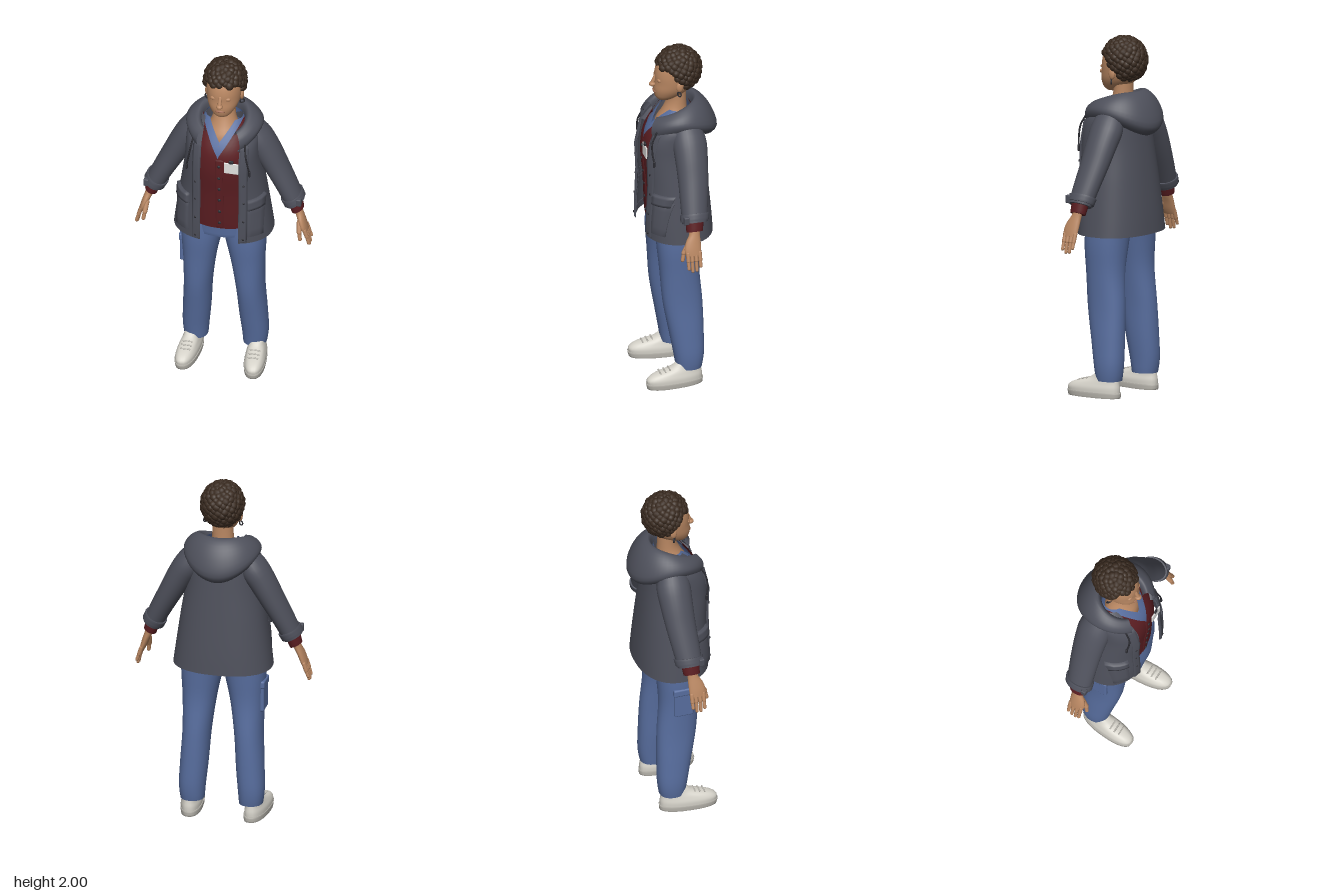
import * as THREE from 'three';
import { mergeGeometries, mergeVertices } from 'three/addons/utils/BufferGeometryUtils.js';
import { RoundedBoxGeometry } from 'three/addons/geometries/RoundedBoxGeometry.js';

const paint = (name, color, side = THREE.FrontSide) => {
  const m = new THREE.MeshStandardMaterial({ color, side });
  m.name = name;
  return m;
};
const V = (x, y, z) => new THREE.Vector3(x, y, z);
const TAU = Math.PI * 2;

// Grid of quads from a point rule; v runs up, u runs round from the front towards +x
function grid(rule, rows, cols) {
  const pos = [], idx = [];
  for (let i = 0; i <= rows; i++) for (let j = 0; j <= cols; j++) pos.push(...rule(i, j));
  for (let i = 0; i < rows; i++) for (let j = 0; j < cols; j++) {
    const a = i * (cols + 1) + j, b = a + cols + 1;
    idx.push(a, a + 1, b + 1, a, b + 1, b);
  }
  let g = new THREE.BufferGeometry();
  g.setAttribute('position', new THREE.Float32BufferAttribute(pos, 3));
  g.setIndex(idx);
  g = mergeVertices(g, 1e-4);
  g.computeVertexNormals();
  return g;
}

// Level cross-section from its extents, and a smooth surface through rising cross-sections
const ring = (y, x0, x1, z0, z1) => [(x0 + x1) / 2, y, (z0 + z1) / 2, (x1 - x0) / 2, (z1 - z0) / 2, 0];
const wide = (y, x, z0, z1) => ring(y, -x, x, z0, z1);
function surface(rings, p = 2) {
  const f = new THREE.CubicInterpolant(rings.map(r => r[1]), rings.flat(), 6);
  const bend = v => Math.sign(v) * Math.abs(v) ** (2 / p);
  return {
    from: rings[0][1], to: rings[rings.length - 1][1],
    at(y, a, off = 0, k = 1) {
      const [cx, cy, cz, rx, rz, tilt] = f.evaluate(y);
      const x = bend(Math.sin(a)) * (rx + off) * k, z = bend(Math.cos(a)) * (rz + off) * k;
      const t = tilt * Math.PI / 180;
      return [cx + x * Math.cos(t), cy + x * Math.sin(t), cz + z];
    },
    angle(y, x) {
      const [cx, , , rx] = f.evaluate(y);
      const s = THREE.MathUtils.clamp((x - cx) / rx, -1, 1);
      return Math.asin(Math.sign(s) * Math.abs(s) ** (p / 2));
    },
  };
}
function loft(s, { y0 = s.from, y1 = s.to, off = 0, rows = 16, cols = 28, low = true, high = true,
  a0 = () => 0, a1 = () => TAU } = {}) {
  const steps = [];
  if (low) steps.push([y0, 0], [y0, 0.97]);
  for (let i = 0; i <= rows; i++) steps.push([y0 + (y1 - y0) * i / rows, 1]);
  if (high) steps.push([y1, 0.97], [y1, 0]);
  return grid((i, j) => {
    const [y, k] = steps[i], a = a0(y) + (a1(y) - a0(y)) * j / cols;
    return s.at(y, a, off, k);
  }, steps.length - 1, cols);
}
// Raised panel lying on the front of a surface
function patch(s, x0, x1, y0, y1, off = 0.01) {
  const us = [0, 0.02, 0.25, 0.5, 0.75, 0.98, 1];
  return grid((i, j) => {
    const y = y0 + (y1 - y0) * us[i], edge = i % 6 === 0 || j % 6 === 0;
    return s.at(y, s.angle(y, x0 + (x1 - x0) * us[j]), edge ? -0.002 : off);
  }, 6, 6);
}
const ball = (x, y, z, a, b, c) => new THREE.SphereGeometry(1, 14, 10).scale(a, b, c).translate(x, y, z);
const box = (x, y, z, a, b, c, r = 0.004) => new RoundedBoxGeometry(a, b, c, 2, r).translate(x, y, z);
function limb(p, q, r) {
  const d = q.clone().sub(p), g = new THREE.CapsuleGeometry(r, d.length(), 4, 10);
  g.applyQuaternion(new THREE.Quaternion().setFromUnitVectors(V(0, 1, 0), d.normalize()));
  const m = p.clone().add(q).multiplyScalar(0.5);
  return g.translate(m.x, m.y, m.z);
}
function mirror(geo) {
  const g = geo.clone().scale(-1, 1, 1), ix = g.index;
  for (let i = 0; i < ix.count; i += 3) {
    const t = ix.getX(i);
    ix.setX(i, ix.getX(i + 1));
    ix.setX(i + 1, t);
  }
  return g;
}

export function createModel() {
  const model = new THREE.Group();
  const skin = paint('skin', 0xb98762), hair = paint('hair', 0x3a2b20), lip = paint('lip', 0xa06a52);
  const coat = paint('coat', 0x4e505b, THREE.DoubleSide), red = paint('dark red', 0x5a1d21, THREE.DoubleSide);
  const blue = paint('blue cloth', 0x586e9f, THREE.DoubleSide), dark = paint('dark trim', 0x2c2c32);
  const white = paint('badge white', 0xe2e2e0), shoe = paint('shoe', 0xd6d3ca), sole = paint('sole', 0xb9b6ae);
  const add = (name, geo, mat) => {
    const m = new THREE.Mesh(geo, mat);
    m.name = name;
    model.add(m);
  };
  const pair = (name, geo, mat) => {
    add('left ' + name, geo, mat);
    add('right ' + name, geo.index ? mirror(geo) : mirror(mergeVertices(geo)), mat);
  };

  // Trousers and side pocket
  pair('trouser leg', loft(surface([
    ring(0.095, 0.1, 0.232, -0.1, 0.045), ring(0.16, 0.095, 0.24, -0.11, 0.055), ring(0.3, 0.082, 0.236, -0.112, 0.08),
    ring(0.5, 0.068, 0.226, -0.107, 0.115), ring(0.7, 0.04, 0.23, -0.092, 0.13), ring(0.85, 0.008, 0.238, -0.1, 0.142),
    ring(0.98, -0.02, 0.235, -0.11, 0.14)], 2.2), { rows: 24 }), blue);
  add('cargo pocket', box(-0.222, 0.72, 0.02, 0.035, 0.15, 0.11, 0.01), blue);
  add('cargo pocket flap', box(-0.224, 0.805, 0.02, 0.04, 0.045, 0.12, 0.01), blue);

  // Shoes
  const turn = g => {
    const p = g.attributes.position;
    for (let i = 0; i < p.count; i++) p.setX(i, p.getX(i) + 0.08 * (p.getZ(i) - 0.06));
    g.computeVertexNormals();
    return g;
  };
  pair('shoe upper', turn(loft(surface([
    ring(0.025, 0.131, 0.245, -0.1, 0.218), ring(0.055, 0.131, 0.245, -0.1, 0.217), ring(0.08, 0.138, 0.238, -0.096, 0.18),
    ring(0.105, 0.144, 0.23, -0.092, 0.09), ring(0.13, 0.146, 0.226, -0.088, 0.05)], 2.4))), shoe);
  pair('shoe sole', turn(loft(surface([
    ring(0, 0.128, 0.246, -0.103, 0.218), ring(0.03, 0.126, 0.249, -0.105, 0.225)], 2.4), { rows: 3 })), sole);
  for (let i = 0; i < 3; i++) {
    const z = 0.145 - i * 0.027, y = 0.09 + i * 0.007;
    pair('shoe lace ' + (i + 1), limb(V(0.165, y, z), V(0.218, y, z), 0.004), sole);
  }

  // Scrub top and buttoned vest share one torso
  const torso = surface([wide(0.88, 0.215, -0.15, 0.16), wide(1, 0.2, -0.14, 0.172), wide(1.2, 0.19, -0.13, 0.182),
    wide(1.4, 0.18, -0.12, 0.196), wide(1.5, 0.17, -0.11, 0.178), wide(1.6, 0.14, -0.09, 0.12), wide(1.65, 0.115, -0.08, 0.085)], 2.2);
  const vNeck = (base, rate) => {
    const edge = y => torso.angle(y, Math.max(0, y - base) * rate);
    return { a0: edge, a1: y => TAU - edge(y), high: false, rows: 36, cols: 40 };
  };
  add('scrub top', loft(torso, { ...vNeck(1.545, 0.75), y0: 0.9, off: -0.012 }), blue);
  add('vest', loft(torso, { ...vNeck(1.47, 0.62), y0: 0.975, low: false }), red);
  add('vest placket', patch(torso, -0.012, 0.032, 0.98, 1.46, 0.004), red);
  for (let i = 0; i < 6; i++) {
    const y = 1.02 + i * 0.08, p = torso.at(y, torso.angle(y, 0.01), 0.005);
    add('vest button ' + (i + 1), ball(...p, 0.009, 0.009, 0.005), dark);
  }
  add('badge', box(0.08, 1.42, 0.2, 0.082, 0.07, 0.009), white);
  add('badge clip', box(0.08, 1.462, 0.2, 0.026, 0.02, 0.012), dark);

  // Open coat
  const shell = surface([wide(0.907, 0.278, -0.19, 0.212), wide(1, 0.266, -0.184, 0.214), wide(1.2, 0.238, -0.166, 0.207),
    wide(1.4, 0.21, -0.146, 0.217), wide(1.5, 0.205, -0.135, 0.203), wide(1.56, 0.2, -0.125, 0.163),
    wide(1.61, 0.17, -0.11, 0.115), wide(1.65, 0.125, -0.09, 0.08)], 2.3);
  add('coat body', loft(shell, { low: false, high: false, rows: 28, cols: 48,
    a0: y => shell.angle(y, 0.12), a1: y => TAU + shell.angle(y, -0.095) }), coat);
  add('left coat placket', patch(shell, 0.12, 0.162, 0.91, 1.54), coat);
  add('right coat placket', patch(shell, -0.137, -0.095, 0.91, 1.54), coat);
  for (const y of [0.94, 1.06, 1.18, 1.3]) for (const x of [0.142, -0.117])
    add('coat stud', ball(...shell.at(y, shell.angle(y, x), 0.01), 0.007, 0.007, 0.004), dark);
  pair('coat pocket', patch(shell, 0.165, 0.24, 0.95, 1.15, 0.01), coat);
  pair('coat pocket flap', patch(shell, 0.16, 0.236, 1.13, 1.19, 0.019), coat);
  const cord = [1.56, 1.5, 1.44, 1.39].map((y, i) =>
    V(...shell.at(y, shell.angle(y, 0.135 + i * 0.01), 0.016)));
  pair('drawstring', new THREE.TubeGeometry(new THREE.CatmullRomCurve3(cord), 12, 0.005, 6), dark);
  pair('drawstring end', limb(cord[3], cord[3].clone().add(V(0, -0.025, 0)), 0.007), dark);

  // Hood lying on the back, blended from front, side and back profiles of radius and height
  const hood = [
    [[0.17, 1.49], [0.2, 1.49], [0.21, 1.53], [0.205, 1.57], [0.19, 1.595], [0.17, 1.61], [0.15, 1.59], [0.14, 1.52]],
    [[0.15, 1.55], [0.19, 1.555], [0.215, 1.6], [0.2, 1.637], [0.17, 1.665], [0.135, 1.68], [0.115, 1.65], [0.11, 1.57]],
    [[0.13, 1.48], [0.18, 1.46], [0.225, 1.51], [0.2, 1.6], [0.155, 1.67], [0.105, 1.7], [0.085, 1.66], [0.08, 1.58]]];
  const profiles = hood.map(p => new THREE.SplineCurve(p.map(q => new THREE.Vector2(...q))).getPoints(21));
  add('hood', grid((i, j) => {
    const a = THREE.MathUtils.degToRad(35 + 290 * j / 40), w = (1 - Math.cos(a)) / 2;
    const k = [2 * (w - 0.5) * (w - 1), 4 * w * (1 - w), 2 * w * (w - 0.5)];
    const mix = c => profiles.reduce((sum, p, n) => sum + p[i][c] * k[n], 0);
    return [mix('x') * Math.sin(a), mix('y'), mix('x') * Math.cos(a)];
  }, 21, 40), coat);

  // Sleeves and cuffs
  const sleeve = surface([[0.4, 1.105, 0, 0.055, 0.07, 27], [0.348, 1.21, -0.01, 0.06, 0.078, 27],
    [0.29, 1.32, -0.02, 0.067, 0.085, 27], [0.23, 1.43, -0.025, 0.075, 0.092, 28],
    [0.182, 1.505, -0.025, 0.078, 0.095, 34], [0.14, 1.565, -0.02, 0.066, 0.08, 48]]);
  pair('sleeve', loft(sleeve, { rows: 18 }), coat);
  pair('sleeve strap', loft(sleeve, { y0: 1.115, y1: 1.15, off: 0.009, rows: 3 }), coat);
  pair('strap tab', box(0.43, 1.14, 0.055, 0.03, 0.045, 0.03, 0.006), coat);
  pair('knit cuff', loft(surface([[0.414, 1.058, 0.004, 0.037, 0.046, 25], [0.395, 1.12, 0, 0.042, 0.052, 27]]), { rows: 4 }), red);

  // Hands
  pair('palm', loft(surface([[0.463, 0.935, 0.022, 0.014, 0.043, 18], [0.452, 0.965, 0.024, 0.018, 0.047, 18],
    [0.436, 1.01, 0.018, 0.02, 0.042, 20], [0.422, 1.045, 0.008, 0.022, 0.031, 24], [0.41, 1.08, 0.004, 0.024, 0.032, 25]]),
    { rows: 12, cols: 18 }), skin);
  [[0.055, 0.868], [0.033, 0.852], [0.01, 0.855], [-0.012, 0.878]].forEach(([z, y], i) => {
    const mid = V(0.474, 0.91, z);
    pair('finger base ' + (i + 1), limb(V(0.461, 0.95, z), mid, 0.0115), skin);
    pair('finger tip ' + (i + 1), limb(mid, V(0.486, y, z), 0.0095), skin);
  });
  pair('thumb', limb(V(0.43, 0.995, 0.045), V(0.436, 0.945, 0.072), 0.014), skin);
  pair('thumb tip', limb(V(0.436, 0.945, 0.072), V(0.442, 0.905, 0.08), 0.011), skin);

  // Neck and head
  add('neck', loft(surface([wide(1.46, 0.12, -0.05, 0.12), wide(1.56, 0.1, -0.06, 0.115), wide(1.6, 0.08, -0.06, 0.09),
    wide(1.64, 0.065, -0.057, 0.068), wide(1.68, 0.06, -0.055, 0.052), wide(1.77, 0.06, -0.055, 0.05)])), skin);
  add('head', loft(surface([wide(1.69, 0.03, 0.03, 0.1), wide(1.705, 0.05, 0, 0.117), wide(1.73, 0.07, -0.045, 0.126),
    wide(1.76, 0.086, -0.08, 0.129), wide(1.8, 0.096, -0.105, 0.124), wide(1.85, 0.1, -0.12, 0.122),
    wide(1.9, 0.097, -0.12, 0.108), wide(1.95, 0.075, -0.09, 0.075)], 2.1), { rows: 24, cols: 32 }), skin);
  add('nose bridge', limb(V(0, 1.835, 0.117), V(0, 1.793, 0.136), 0.011), skin);
  add('nose tip', ball(0, 1.787, 0.135, 0.019, 0.014, 0.02), skin);
  add('mouth', ball(0, 1.746, 0.124, 0.028, 0.008, 0.01), lip);
  pair('eyelid', ball(0.038, 1.824, 0.107, 0.02, 0.012, 0.012), skin);
  pair('lash line', limb(V(0.022, 1.819, 0.117), V(0.054, 1.82, 0.11), 0.0018), lip);
  pair('ear', ball(0.098, 1.795, 0.005, 0.012, 0.03, 0.02), skin);
  pair('earring', new THREE.TorusGeometry(0.013, 0.004, 6, 14).rotateY(0.6).translate(0.1, 1.753, 0.008), dark);

  // Curly hair: a cap covered in evenly spread curls, cut along a hairline
  add('hair cap', ball(0, 1.872, -0.028, 0.106, 0.11, 0.11), hair);
  const curls = [], count = 230;
  for (let i = 0; i < count; i++) {
    const h = 1 - 2 * (i + 0.5) / count, r = Math.sqrt(1 - h * h), a = i * 2.39996;
    const x = r * Math.cos(a) * 0.101, y = 1.866 + h * 0.112, z = -0.011 + r * Math.sin(a) * 0.112;
    const line = 1.77 + THREE.MathUtils.clamp((z + 0.045) / 0.1, 0, 1) * 0.125;
    if (y < line) continue;
    const size = 0.021 + 0.006 * Math.abs(Math.sin(i * 12.9));
    curls.push(new THREE.IcosahedronGeometry(size, 1).rotateX(i).rotateZ(i * 1.7).translate(x, y, z));
  }
  add('curls', mergeGeometries(curls), hair);
  return model;
}
